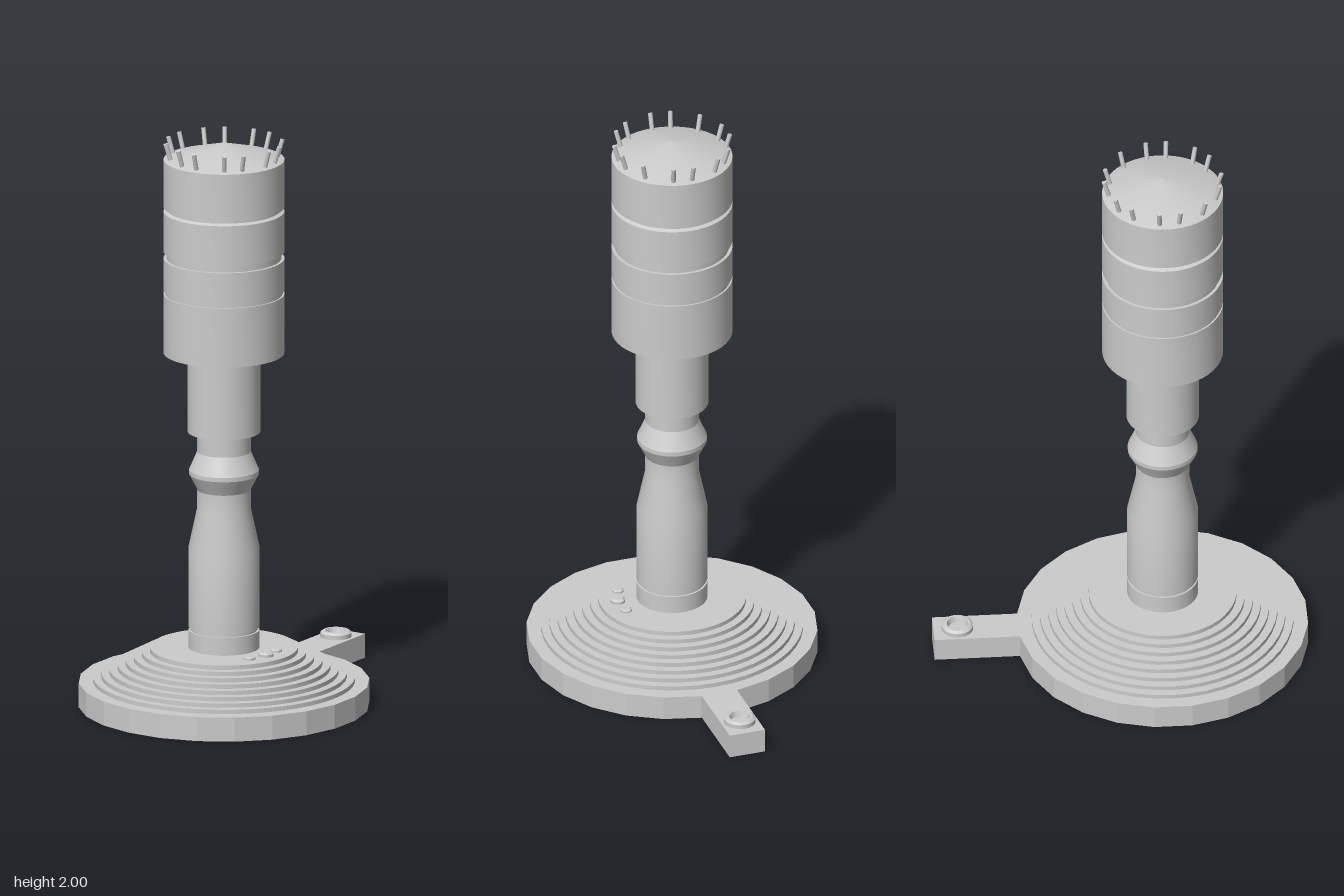
import * as THREE from 'three';
import { toCreasedNormals } from 'three/addons/utils/BufferGeometryUtils.js';

const material = new THREE.MeshStandardMaterial({ color: 0xcccccc });

function addMesh(parent, name, geometry, x = 0, y = 0, z = 0) {
  const mesh = new THREE.Mesh(geometry, material);
  mesh.name = name;
  mesh.position.set(x, y, z);
  parent.add(mesh);
  return mesh;
}

// Turned part from [radius, height] pairs; edges above the crease angle stay sharp
function turned(profile, sides = 48, crease = 0.5) {
  const points = profile.map(([r, y]) => new THREE.Vector2(r, y));
  return toCreasedNormals(new THREE.LatheGeometry(points, sides), crease);
}

export function createModel() {
  const model = new THREE.Group();
  const column = new THREE.Group();
  column.name = 'column';
  column.position.z = 0.14;
  model.add(column);

  // Faceted hollow base rim
  addMesh(column, 'baseRim', turned(
    [[0.45, 0], [0.5, 0], [0.5, 0.085], [0.45, 0.085], [0.45, 0]], 24, 0.1));

  // Eight shallow steps with a central hole
  const steps = [];
  for (let i = 0; i < 8; i++) {
    const r = 0.45 - i * 0.028;
    steps.push([r, 0.085 + i * 0.015], [r, 0.1 + i * 0.015]);
  }
  steps.push([0.12, 0.205], [0.12, 0.085], [0.45, 0.085]);
  addMesh(column, 'baseSteps', turned(steps));

  // Stem with waist and collar
  addMesh(column, 'stem', turned([
    [0, 0.205], [0.122, 0.205], [0.122, 0.268], [0.115, 0.268], [0.115, 0.278],
    [0.122, 0.278], [0.122, 0.56], [0.092, 0.7], [0.092, 0.765], [0.12, 0.82],
    [0.12, 0.835], [0.092, 0.9], [0.092, 0.97], [0, 0.97],
  ], 48, 0.3));
  addMesh(column, 'sleeve', turned([[0, 0.97], [0.125, 0.97], [0.125, 1.25], [0, 1.25]]));

  // Grooved head with a low conical top
  addMesh(column, 'head', turned([
    [0, 1.25], [0.208, 1.25], [0.208, 1.46], [0.202, 1.46], [0.202, 1.473],
    [0.208, 1.473], [0.208, 1.585], [0.197, 1.585], [0.197, 1.61],
    [0.208, 1.61], [0.208, 1.752], [0.195, 1.758], [0.195, 1.768],
    [0.208, 1.768], [0.208, 1.935], [0, 1.995],
  ]));

  // Crown of outward-leaning pins
  const pins = new THREE.Group();
  pins.name = 'crownPins';
  column.add(pins);
  const up = new THREE.Vector3(0, 1, 0);
  for (const degrees of [0, 30, 49, 80, 100, 130, 159, 180, 209, 230, 260, 280, 311, 340]) {
    const a = THREE.MathUtils.degToRad(degrees);
    const at = (r, y) => new THREE.Vector3(r * Math.cos(a), y, r * Math.sin(a));
    const low = at(0.183, 1.93), high = at(0.203, 1.998);
    const pin = addMesh(pins, 'pin', new THREE.CylinderGeometry(0.008, 0.008, low.distanceTo(high), 10));
    pin.position.copy(low).lerp(high, 0.5);
    pin.quaternion.setFromUnitVectors(up, high.sub(low).normalize());
  }

  // Three small buttons beside the stem
  for (const [x, z, r, h] of [[0.175, 0.07, 0.02, 0.01], [0.19, 0, 0.026, 0.015], [0.175, -0.07, 0.02, 0.01]]) {
    addMesh(column, 'button', turned([[r, 0], [r, h * 0.6], [r * 0.7, h], [0, h]], 16), x, 0.205, z);
  }

  // Angled arm at the back, carrying a recessed ring
  const arm = addMesh(model, 'arm', new THREE.BoxGeometry(0.128, 0.085, 0.34), -0.0815, 0.0425, -0.474);
  arm.rotation.y = 0.13;
  addMesh(model, 'armRing', turned(
    [[0.054, 0], [0.054, 0.015], [0.045, 0.022], [0.036, 0.022], [0.03, 0.002], [0, 0.002]], 32),
  -0.094, 0.085, -0.56);

  return model;
}
